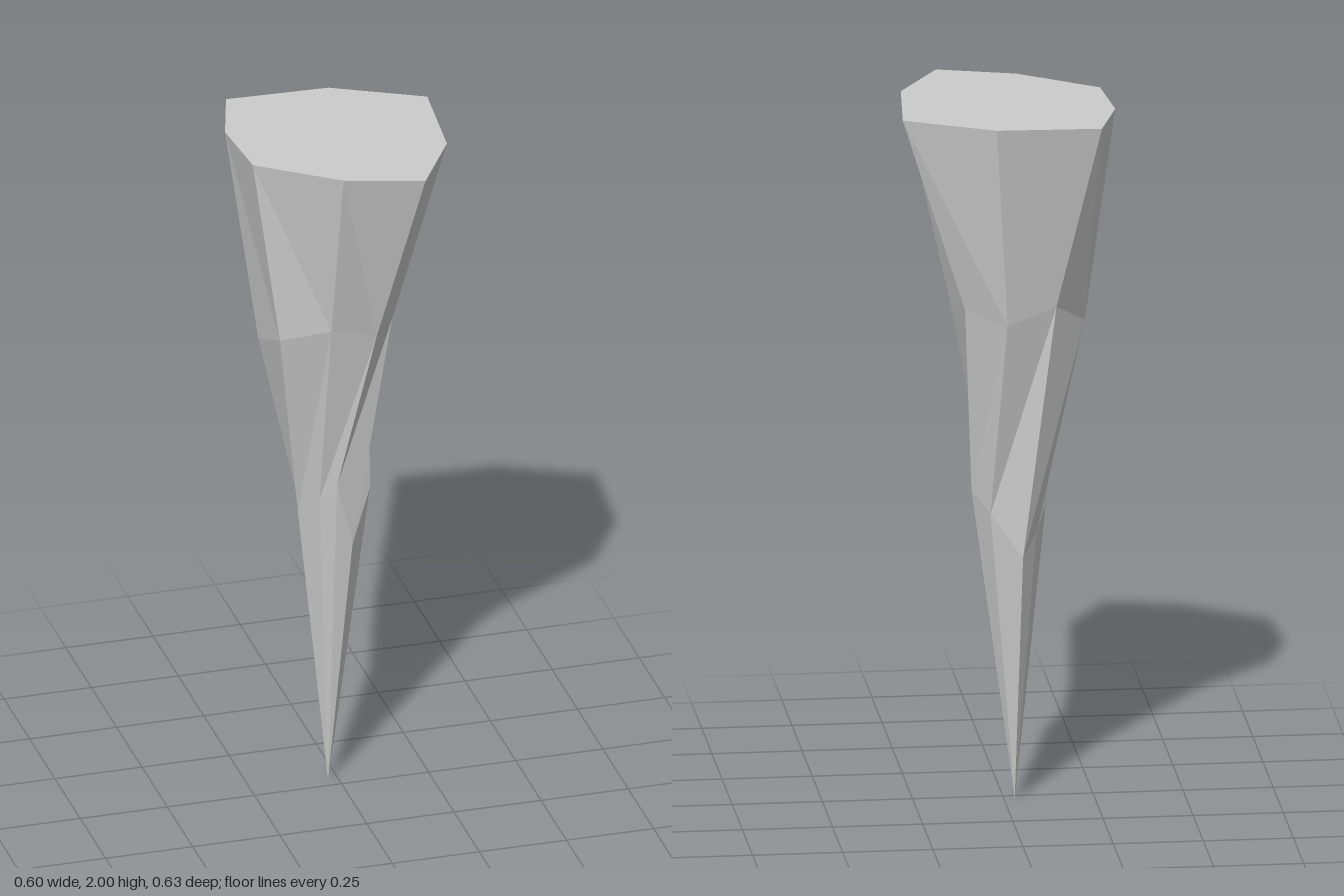
import * as THREE from 'three';

// Cross-sections of the spike, [x, y, z], clockwise seen from above
const topRing = [
  [-0.24, 2, -0.315], [0.05, 2, -0.303], [0.297, 2, -0.175], [0.27, 2, 0.112],
  [0.15, 2, 0.313], [-0.066, 2, 0.248], [-0.28, 2, 0.088], [-0.298, 2, -0.125],
];
const middleRing = [
  [-0.22, 1.38, -0.065], [-0.13, 1.45, -0.17], [0.01, 1.41, -0.21], [0.12, 1.44, -0.14],
  [0.145, 1.42, 0], [0.065, 1.44, 0.125], [-0.07, 1.48, 0.14], [-0.2, 1.44, 0.08],
];
const lowerRing = [
  [-0.085, 0.78, -0.08], [-0.042, 0.72, -0.13], [0.045, 0.84, -0.10], [0.09, 0.89, -0.03],
  [0.02, 0.76, 0.04], [-0.03, 0.96, 0.06], [-0.075, 0.91, 0.04], [-0.115, 0.84, -0.035],
];
const tip = [-0.03, 0, -0.03];

function facetedMesh(name, triangles, material) {
  const geometry = new THREE.BufferGeometry();
  geometry.setAttribute('position', new THREE.Float32BufferAttribute(triangles.flat(2), 3));
  geometry.computeVertexNormals();
  const mesh = new THREE.Mesh(geometry, material);
  mesh.name = name;
  return mesh;
}

// Triangles joining two rings of equal size
function band(upper, lower) {
  return upper.flatMap((p, i) => {
    const j = (i + 1) % upper.length;
    return [[p, upper[j], lower[j]], [p, lower[j], lower[i]]];
  });
}

// Triangles joining a ring to a single point
function fan(ring, point, flip = false) {
  return ring.map((p, i) => {
    const q = ring[(i + 1) % ring.length];
    return flip ? [q, p, point] : [p, q, point];
  });
}

export function createModel() {
  const group = new THREE.Group();
  group.name = 'rockSpike';
  const material = new THREE.MeshStandardMaterial({ color: 0xcccccc, flatShading: true });

  // Flat root, twisted shaft and pointed end
  group.add(
    facetedMesh('flatRoot', fan(topRing, [0, 2, 0], true), material),
    facetedMesh('flaredShaft', band(topRing, middleRing), material),
    facetedMesh('taperedShaft', band(middleRing, lowerRing), material),
    facetedMesh('point', fan(lowerRing, tip), material),
  );
  return group;
}
